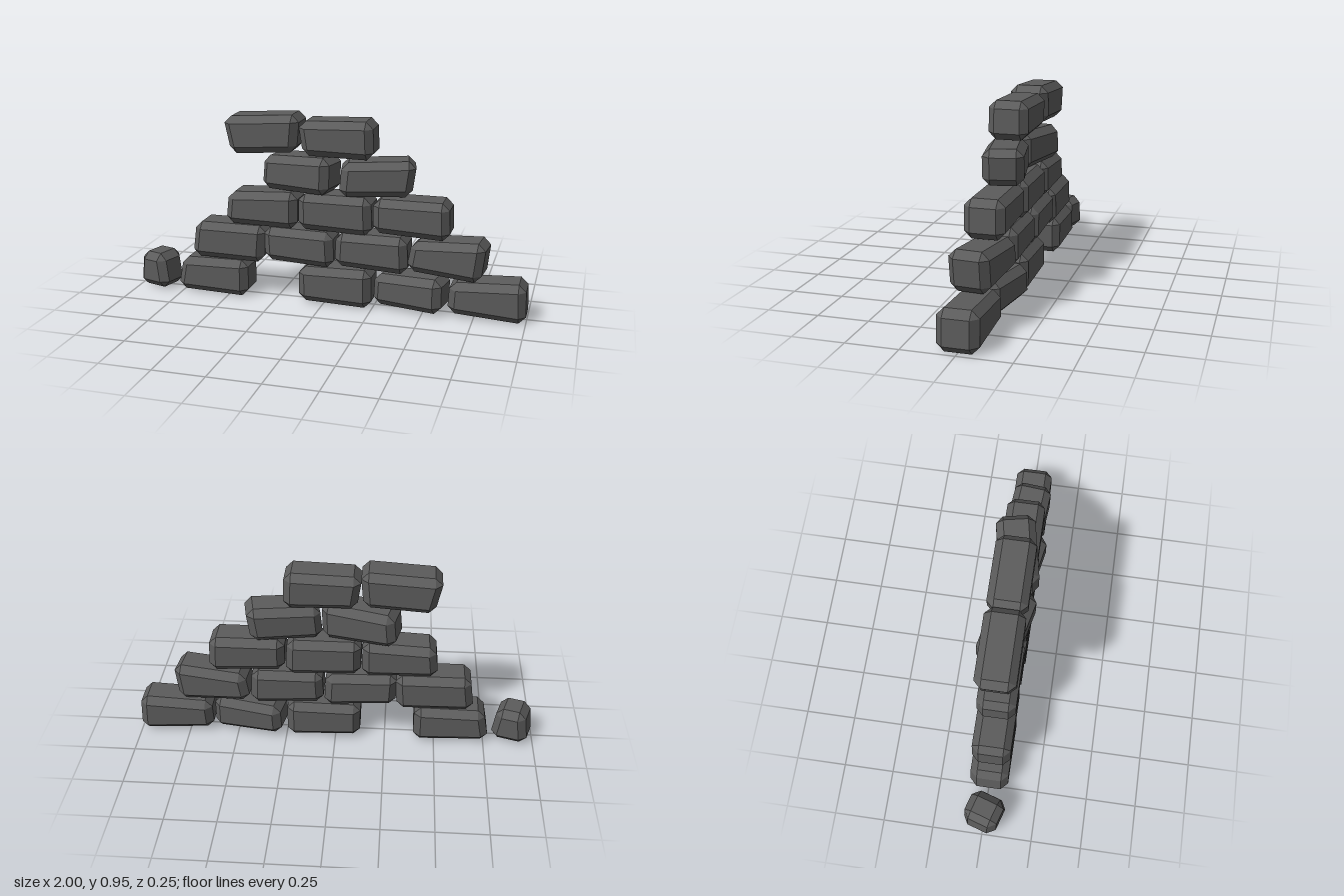
import * as THREE from 'three';
import { ConvexGeometry } from 'three/addons/geometries/ConvexGeometry.js';

const BEVEL = 0.035;

// Each brick: outline corners in hundredths (top left, top right, bottom right, bottom left), yaw, depth
const ROWS = [
  [
    { q: [-98.5, 19, -81, 19, -79, 1, -100, 1], yaw: -0.3, depth: 0.175 },
    { q: [-75, 19, -39.5, 19.5, -39.5, 0.5, -77, 1.5] },
    { q: [-12.5, 19.5, 24.5, 20, 24.5, 0.5, -12.5, 1.5] },
    { q: [25.5, 18.5, 62, 19.5, 62, 2, 25, 2.5], yaw: -0.18 },
    { q: [63, 18.5, 99.5, 20, 100, 0.5, 62.5, 2.5] },
  ],
  [
    { q: [-67, 38.5, -29.5, 38.5, -30.5, 19.5, -68.5, 20] },
    { q: [-30.5, 38.5, 5, 38, 5.5, 20, -30, 21.5] },
    { q: [6.5, 38.5, 42, 38.5, 42.5, 20, 6, 21.5] },
    { q: [43.5, 37, 81, 39, 79.5, 19.5, 42, 21.5], yaw: -0.09 },
  ],
  [
    { q: [-49, 55.5, -13, 57, -13, 38.5, -50, 39] },
    { q: [-12.5, 57, 24, 57, 24.5, 38, -12.5, 39] },
    { q: [25, 57, 62, 57, 62.5, 38.5, 25, 40] },
  ],
  [
    { q: [-31, 74.5, 7, 76, 6.5, 57.5, -32, 57.5], yaw: -0.22 },
    { q: [7.5, 74.5, 45, 75.5, 43.5, 58, 6.5, 57.5], yaw: 0.2 },
  ],
  [
    { q: [-50, 93.5, -12, 95.5, -13, 77, -47.5, 75] },
    { q: [-12, 93, 24.5, 94, 25, 75.5, -10.5, 76] },
  ],
];

// Bevelled block: every corner is cut into three points, and the hull closes them
function brickGeometry({ q, yaw = 0, depth = 0.192 }) {
  const corners = [0, 2, 4, 6].map((i) => new THREE.Vector2(q[i] / 100, q[i + 1] / 100));
  const centre = corners.reduce((sum, c) => sum.add(c), new THREE.Vector2()).multiplyScalar(0.25);
  const width = Math.max(corners[1].x, corners[2].x) - Math.min(corners[0].x, corners[3].x);
  const fit = (width - 0.7 * depth * Math.abs(Math.sin(yaw))) / (width * Math.cos(yaw));
  const points = [];
  corners.forEach((c, i) => {
    const x = (c.x - centre.x) * fit;
    const y = c.y - centre.y;
    const sx = i === 0 || i === 3 ? -1 : 1;
    const sy = i < 2 ? 1 : -1;
    for (const sz of [-1, 1]) {
      const z = (sz * depth) / 2;
      const bx = x - sx * BEVEL, by = y - sy * BEVEL, bz = z - sz * BEVEL;
      points.push(
        new THREE.Vector3(x, by, bz),
        new THREE.Vector3(bx, y, bz),
        new THREE.Vector3(bx, by, z),
      );
    }
  });
  return { geometry: new ConvexGeometry(points), centre };
}

export function createModel() {
  const model = new THREE.Group();
  model.name = 'ruinedBrickWall';
  const stone = new THREE.MeshStandardMaterial({ color: 0x5c5c5c });
  stone.name = 'darkGreyStone';

  ROWS.forEach((row, r) => {
    const course = new THREE.Group();
    course.name = `brickCourse${r + 1}`;
    row.forEach((brick, i) => {
      const { geometry, centre } = brickGeometry(brick);
      const mesh = new THREE.Mesh(geometry, stone);
      mesh.name = r === 0 && i === 0 ? 'halfBrick' : `brick${r + 1}_${i + 1}`;
      mesh.position.set(centre.x, centre.y, 0);
      mesh.rotation.y = brick.yaw ?? 0;
      course.add(mesh);
    });
    model.add(course);
  });

  // Stand on the ground
  model.position.y = -new THREE.Box3().setFromObject(model).min.y;
  return model;
}
